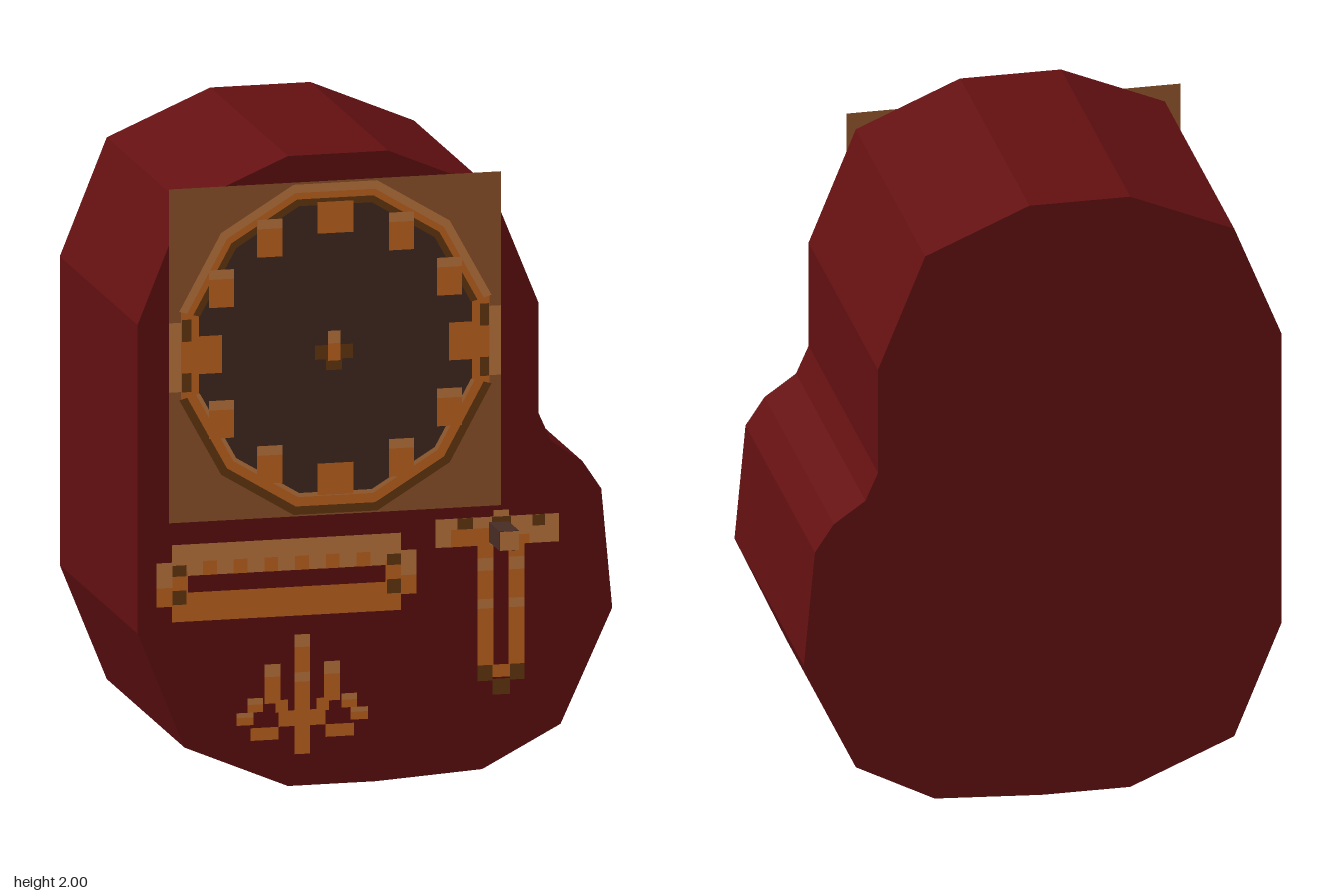
import * as THREE from 'three';
import { mergeGeometries } from 'three/addons/utils/BufferGeometryUtils.js';

const FRONT = 0.428, BACK = -0.566;

function material(name, color, side = THREE.FrontSide) {
  const m = new THREE.MeshStandardMaterial({ color, side });
  m.name = name;
  return m;
}

export function createModel() {
  const mats = {
    red: material('dark red', 0x641011),
    plate: material('bronze', 0x98592e, THREE.DoubleSide),
    orange: material('orange', 0xd06b21),
    tan: material('tan', 0xcb8043),
    brown: material('brown', 0x6b3c10),
    dial: material('dark dial', 0x472c23),
  };
  const group = new THREE.Group();

  function add(parent, name, geometry, mat) {
    const mesh = new THREE.Mesh(geometry, mat);
    mesh.name = name;
    parent.add(mesh);
    return mesh;
  }
  function part(name) {
    const g = new THREE.Group();
    g.name = name;
    group.add(g);
    return g;
  }
  // flat painted rectangles [x0, y0, x1, y1] on a layer above the front face
  function paint(parent, name, mat, layer, rects) {
    const geos = rects.map(([x0, y0, x1, y1]) =>
      new THREE.PlaneGeometry(x1 - x0, y1 - y0).translate((x0 + x1) / 2, (y0 + y1) / 2, FRONT + layer * 0.0015));
    return add(parent, name, mergeGeometries(geos), mat);
  }
  // same rectangles plus their mirror about x = cx
  const mirrored = (cx, rects) =>
    rects.concat(rects.map(([x0, y0, x1, y1]) => [2 * cx - x1, y0, 2 * cx - x0, y1]));

  // body: extruded outline
  const outline = [
    [-0.28, 2], [-0.61, 1.86], [-0.76, 1.49], [-0.76, 0.51], [-0.61, 0.14], [-0.28, 0],
    [0, 0], [0.34, 0.02], [0.59, 0.15], [0.755, 0.51], [0.72, 0.89], [0.66, 0.98],
    [0.56, 1.05], [0.52, 1.14], [0.52, 1.49], [0.37, 1.86], [0.04, 2],
  ].map(([x, y]) => new THREE.Vector2(x, y));
  add(group, 'body', new THREE.ExtrudeGeometry(new THREE.Shape(outline), { depth: FRONT - BACK, bevelEnabled: false })
    .translate(0, 0, BACK), mats.red);

  // clock dial on its square plate
  const clock = part('clock');
  const cx = -0.13, cy = 1.385;
  paint(clock, 'dialPlate', mats.plate, 1, [[-0.66, 0.855, 0.4, 1.915]]);
  function ring(name, mat, layer, r0, r1, start = 0, length = 12) {
    const g = new THREE.RingGeometry(r0, r1, length, 1, Math.PI / 12 + start * Math.PI / 6, length * Math.PI / 6);
    g.scale(0.97, 1.02, 1).translate(cx, cy, FRONT + layer * 0.0015);
    add(clock, name, g, mat);
  }
  ring('dialFace', mats.dial, 2, 0, 0.48);
  ring('dialRim', mats.orange, 3, 0.465, 0.525);
  ring('rimHighlight', mats.tan, 4, 0.505, 0.532, 0, 5);
  ring('rimInnerShade', mats.brown, 4, 0.462, 0.484, 0, 5);
  ring('rimOuterShade', mats.brown, 4, 0.505, 0.532, 6, 5);
  ring('rimInnerHighlight', mats.tan, 4, 0.462, 0.475, 6, 5);

  // hour marks, with small highlights
  const marks = [], glints = [];
  for (let i = 0; i < 12; i++) {
    const a = i * Math.PI / 6;
    const x = cx + 0.42 * Math.cos(a), y = cy + 0.415 * Math.sin(a);
    const w = i % 3 === 1 || i % 3 === 2 ? 0.04 : 0.058, h = i % 6 === 3 ? 0.05 : 0.06;
    marks.push([x - w, y - h, x + w, y + h]);
    if (i % 3) glints.push([x - w, y + h - 0.03, x + w, y + h]);
  }
  paint(clock, 'hourMarks', mats.orange, 5, marks);
  paint(clock, 'hourMarkGlints', mats.tan, 6, glints);
  const sides = [[-0.66, 1.27, -0.62, 1.49], [0.36, 1.27, 0.4, 1.49]];
  paint(clock, 'sideGlints', mats.tan, 2, sides);
  paint(clock, 'sideShades', mats.brown, 6, mirrored(cx, [[-0.62, 1.43, -0.59, 1.5], [-0.62, 1.27, -0.59, 1.33]]));
  // hub
  paint(clock, 'hubBar', mats.brown, 5, [[-0.195, 1.35, -0.075, 1.395], [-0.16, 1.315, -0.11, 1.35]]);
  paint(clock, 'hubPin', mats.orange, 6, [[-0.155, 1.345, -0.115, 1.4]]);
  paint(clock, 'hubTip', mats.tan, 6, [[-0.155, 1.4, -0.115, 1.44]]);

  // slot panel
  const slot = part('slotPanel'), sx = -0.285;
  paint(slot, 'topRail', mats.tan, 1, [[-0.65, 0.685, 0.08, 0.785]]);
  paint(slot, 'bottomRail', mats.orange, 1, [[-0.65, 0.54, 0.08, 0.632]]);
  paint(slot, 'endBlocks', mats.orange, 2, mirrored(sx, [[-0.65, 0.6, -0.6, 0.7], [-0.7, 0.59, -0.65, 0.65]]));
  paint(slot, 'endCaps', mats.tan, 2, mirrored(sx, [[-0.7, 0.65, -0.65, 0.73]]));
  paint(slot, 'rivets', mats.brown, 3, mirrored(sx, [[-0.65, 0.685, -0.605, 0.72], [-0.65, 0.595, -0.605, 0.64]]));
  const bumps = [];
  for (let i = 0; i < 6; i++) {
    const x = -0.53 + i * 0.098;
    bumps.push([x - 0.022, 0.685, x + 0.022, 0.73]);
  }
  paint(slot, 'bumps', mats.orange, 2, bumps);

  // hanging two-legged gauge
  const gauge = part('gauge'), gx = 0.4;
  paint(gauge, 'crossbar', mats.tan, 1, [[0.19, 0.73, 0.585, 0.82], [0.375, 0.82, 0.425, 0.84]]);
  paint(gauge, 'crossbarInset', mats.orange, 2, [[0.24, 0.73, 0.365, 0.785], [0.43, 0.73, 0.49, 0.76]]);
  paint(gauge, 'crossbarShade', mats.brown, 3, [[0.26, 0.785, 0.31, 0.82], [0.37, 0.785, 0.43, 0.82], [0.5, 0.785, 0.54, 0.82]]);
  paint(gauge, 'legs', mats.orange, 1, mirrored(gx, [[0.325, 0.31, 0.376, 0.73], [0.376, 0.31, 0.4, 0.35]]));
  paint(gauge, 'legGlints', mats.tan, 2, mirrored(gx, [[0.325, 0.65, 0.376, 0.69], [0.325, 0.53, 0.376, 0.56]]));
  paint(gauge, 'feet', mats.brown, 2, mirrored(gx, [[0.325, 0.3, 0.372, 0.35], [0.372, 0.255, 0.4, 0.305]]));

  // branching ornament
  const ornament = part('ornament'), ox = -0.235;
  paint(ornament, 'stem', mats.orange, 1, [[-0.26, 0.1, -0.21, 0.48]]);
  paint(ornament, 'branches', mats.orange, 1, mirrored(ox, [
    [-0.355, 0.265, -0.305, 0.39], [-0.32, 0.235, -0.28, 0.275], [-0.31, 0.19, -0.26, 0.24],
    [-0.445, 0.2, -0.39, 0.24], [-0.41, 0.24, -0.36, 0.285], [-0.4, 0.15, -0.31, 0.19],
  ]));
  paint(ornament, 'branchGlints', mats.tan, 2, mirrored(ox, [
    [-0.355, 0.35, -0.305, 0.39], [-0.41, 0.265, -0.36, 0.285], [-0.445, 0.225, -0.39, 0.24],
  ]).concat([[-0.26, 0.44, -0.21, 0.48], [-0.26, 0.33, -0.21, 0.36]]));

  // lever peg on the gauge
  add(group, 'peg', new THREE.BoxGeometry(0.062, 0.062, 0.138).translate(0.392, 0.772, 0.497), mats.dial);
  paint(group, 'pegFace', mats.tan, 93, [[0.362, 0.742, 0.422, 0.802]]);

  return group;
}
